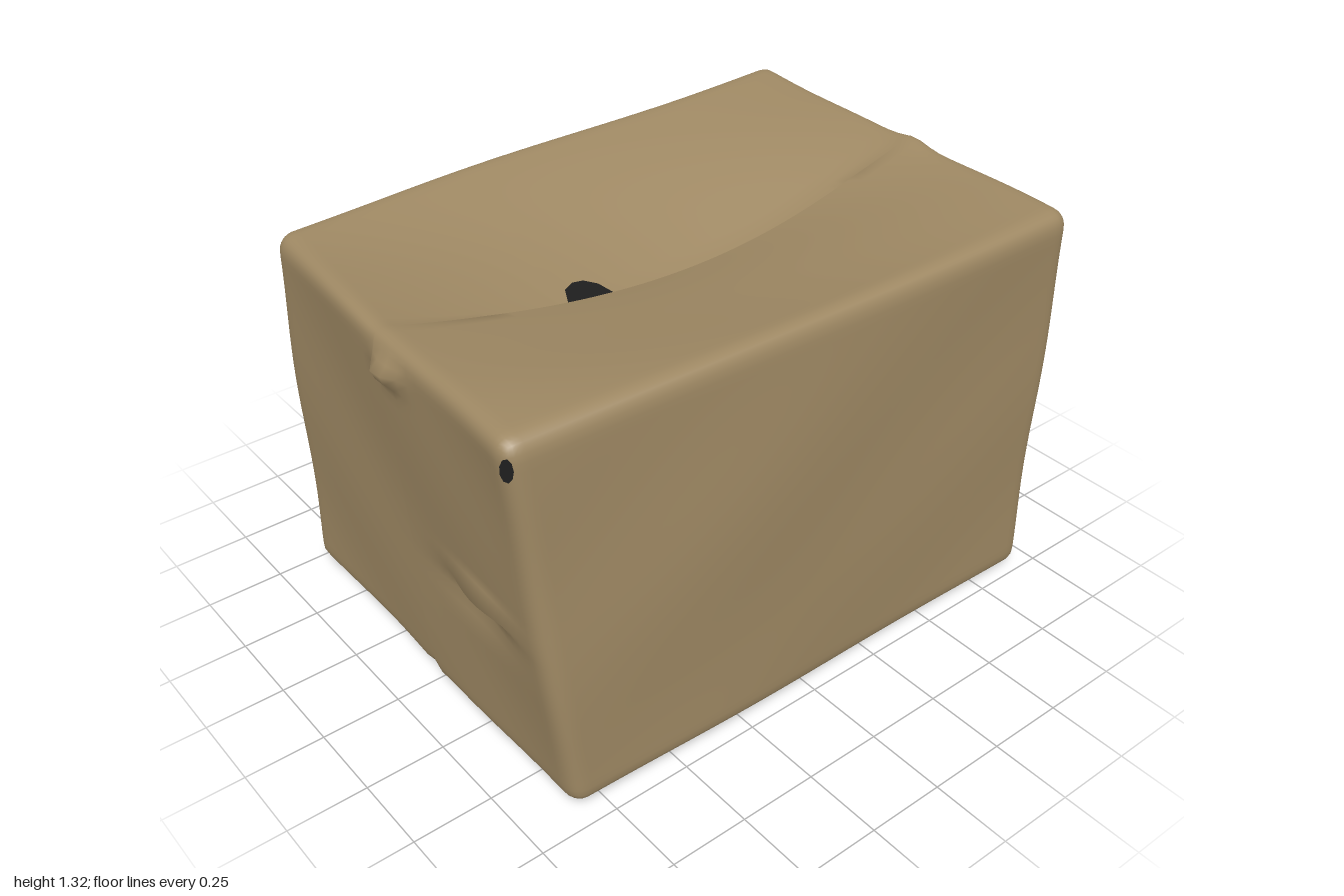
import * as THREE from 'three';
import { mergeVertices } from 'three/addons/utils/BufferGeometryUtils.js';

const { lerp, smoothstep, clamp } = THREE.MathUtils;
const H = [0.7, 0.62, 0.94];            // nominal half size
const ROUND = 0.055;                    // edge rounding
const SEG = [41, 36, 64];

// Box corners, indexed [z][y][x] from back / bottom / left
const CORNERS = [
  [[[-0.705, 0.015, -0.985], [0.725, 0.008, -0.94]], [[-0.65, 1.32, -1], [0.755, 1.322, -0.925]]],
  [[[-0.73, 0.035, 0.855], [0.715, 0.033, 0.865]], [[-0.67, 1.265, 0.89], [0.665, 1.285, 1]]],
];

// A soft dent or bulge: centre, radii, then the axis and distance it moves
const dent = (centre, radii, axis, push) => ({ centre, radii, axis, push });
const DENTS = [
  dent([-0.71, 0.65, 0.1], [0.2, 0.65, 0.65], 0, -0.045),   // left wall bulge
  dent([0.71, 0.75, 0.25], [0.2, 0.6, 0.5], 0, 0.028),      // right wall bulge
  dent([0.38, 0.615, 0.9], [0.15, 0.022, 0.12], 2, 0.035),  // front crease
  dent([0.33, 0.54, 0.9], [0.17, 0.06, 0.12], 2, -0.022),
  dent([0.06, 1.18, 0.95], [0.06, 0.035, 0.08], 2, 0.05),   // front torn lip
  dent([0, 0.03, 0.86], [0.03, 0.05, 0.1], 1, 0.025),       // bottom front notch
  dent([0.05, 0.03, 0.87], [0.03, 0.05, 0.06], 1, -0.035),
  dent([0.11, 1.3, -0.96], [0.07, 0.05, 0.06], 1, 0.018),   // back edge peak
];

// Grid spacing that is finer towards the edges
const spread = (t) => 0.5 * t + 0.5 * Math.sin(t * Math.PI / 2);
const SEAM = spread(1 / SEG[0]);

// Left and right flap edges: a curved slit with a torn bite on its left
function openingAt(z) {
  const t = clamp((z + 0.7) / 1.3, 0, 1);
  const middle = 0.03 - 0.025 * z - 0.022 * z * z;
  const half = 0.003 + 0.02 * Math.sin(Math.PI * t);
  const bite = 0.11 * Math.sqrt(Math.max(0, 1 - ((z - 0.245) / 0.085) ** 2));
  return [middle - half - bite, middle + half];
}

// Takes a point on the cube -1..1 to the battered box
function warp(p) {
  // Narrow the middle column into the seam between the flaps
  const top = smoothstep(p[1], 0.9, 1);
  const [l, r] = openingAt(p[2] * H[2]);
  const left = lerp(-0.004, l, top) / H[0];
  const right = lerp(0.004, r, top) / H[0];
  const u = p[0] <= 0
    ? lerp(-1, left, (p[0] + 1) / (1 - SEAM))
    : lerp(right, 1, (p[0] - SEAM) / (1 - SEAM));

  // Round the edges
  const q = [u, p[1], p[2]].map((c, i) => c * H[i]);
  const core = q.map((c, i) => clamp(c, ROUND - H[i], H[i] - ROUND));
  const d = q.map((c, i) => c - core[i]);
  const len = Math.hypot(...d) || 1;
  const [a, b, c] = core.map((v, i) => ((v + d[i] * ROUND / len) / H[i] + 1) / 2);

  // Skew to the corner positions
  const out = [0, 1, 2].map((k) => {
    const row = (z, y) => lerp(CORNERS[z][y][0][k], CORNERS[z][y][1][k], a);
    return lerp(lerp(row(0, 0), row(0, 1), b), lerp(row(1, 0), row(1, 1), b), c);
  });

  // Top flaps sag, the left one deeper; the bottom has a stepped seam
  const along = Math.max(0, Math.sin(Math.PI * c));
  const sag = p[0] < 0 ? 0.215 : 0.17;
  out[1] -= top * sag * along * Math.pow(Math.max(0, 1 - Math.abs(u)), 1.15);
  const base = smoothstep(-p[1], 0.9, 1);
  out[1] += base * (p[0] > 0 ? 0.03 : -0.01) * Math.exp(-Math.abs(u) * 12);

  // Dents and slight waviness
  const [x, y, z] = out;
  for (const { centre, radii, axis, push } of DENTS) {
    const e = [x, y, z].reduce((s, v, i) => s + ((v - centre[i]) / radii[i]) ** 2, 0);
    out[axis] += push * Math.exp(-e);
  }
  out[0] += 0.003 * Math.sin(y * 8 + z * 5);
  out[1] += 0.003 * Math.sin(x * 9 + z * 4);
  out[2] += 0.004 * Math.sin(x * 6 + y * 7);
  return out;
}

function makeCarton(material) {
  let g = new THREE.BoxGeometry(2, 2, 2, ...SEG);
  g.deleteAttribute('uv');
  g.deleteAttribute('normal');
  g = mergeVertices(g, 1e-4);
  const pos = g.attributes.position;

  // Leave out the faces where the top flaps stand apart
  const index = g.index.array;
  const kept = [];
  for (let i = 0; i < index.length; i += 3) {
    const tri = [index[i], index[i + 1], index[i + 2]];
    const inSeam = tri.every((v) => pos.getY(v) > 0.999 && Math.abs(pos.getX(v)) < 1.5 / SEG[0]);
    const z = tri.reduce((s, v) => s + spread(pos.getZ(v)), 0) / 3 * H[2];
    const [l, r] = openingAt(z);
    if (!inSeam || r - l < 0.009) kept.push(...tri);
  }
  g.setIndex(kept);

  for (let i = 0; i < pos.count; i++) {
    pos.setXYZ(i, ...warp([pos.getX(i), pos.getY(i), pos.getZ(i)].map(spread)));
  }
  g.computeVertexNormals();
  const mesh = new THREE.Mesh(g, material);
  mesh.name = 'carton';
  return mesh;
}

export function createModel() {
  const group = new THREE.Group();
  group.name = 'cardboardBox';
  const cardboard = new THREE.MeshStandardMaterial({ color: 0x9e8863, side: THREE.DoubleSide });
  cardboard.name = 'cardboard';
  const dark = new THREE.MeshStandardMaterial({ color: 0x1e1e1e, side: THREE.DoubleSide });
  dark.name = 'darkInterior';

  group.add(makeCarton(cardboard));

  // Dark inside, seen through the opening
  const inside = new THREE.Mesh(new THREE.BoxGeometry(1.24, 0.94, 1.64), dark);
  inside.name = 'interior';
  inside.position.y = 0.55;
  group.add(inside);

  // Small punctures: place on the cube, turn about y, width, height
  const punctures = [
    [[-1, -0.43, -0.65], -Math.PI / 2, 0.12, 0.06],
    [[-1, -0.43, -0.39], -Math.PI / 2, 0.03, 0.045],
    [[-1, -0.42, -0.29], -Math.PI / 2, 0.03, 0.045],
    [[0.98, 0.88, 0.99], Math.PI / 4, 0.035, 0.07],
  ];
  for (const [place, turn, width, height] of punctures) {
    const mesh = new THREE.Mesh(new THREE.CircleGeometry(0.5, 9), dark);
    mesh.name = 'puncture';
    mesh.rotation.y = turn;
    mesh.position.set(...warp(place));
    mesh.translateZ(0.006);
    mesh.scale.set(width, height, 1);
    group.add(mesh);
  }
  return group;
}
